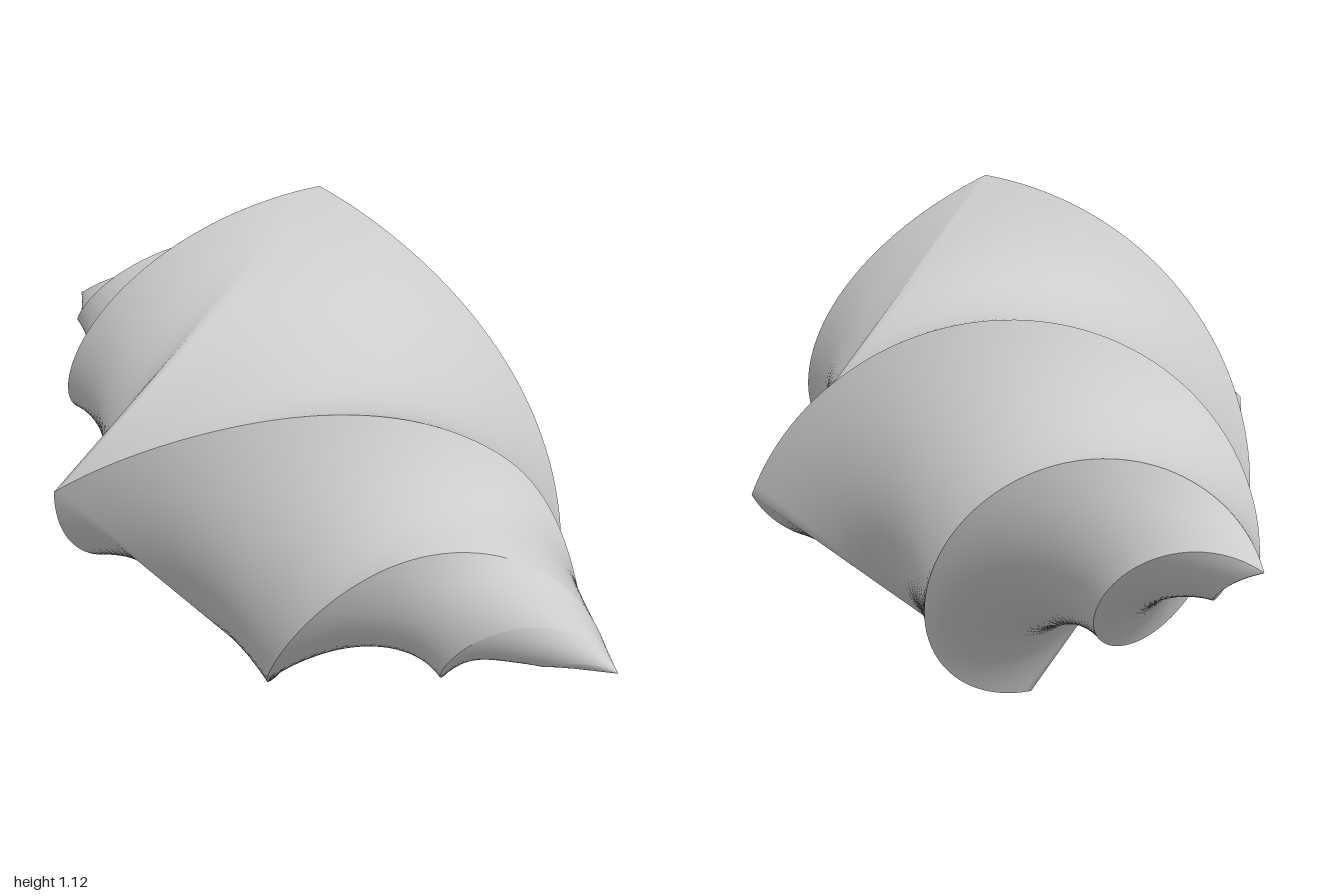
import * as THREE from 'three';

const RADIUS = 0.56, CENTRE_Y = 0.558, START = -5.3;
const ROWS = 160, COLS = 24;
const { smoothstep, lerp, degToRad } = THREE.MathUtils;

// Twist in degrees along the long axis; it tightens towards both tips
function twist(z) {
  return z > 0 ? -(100 * z + 190 * z ** 3) : -z * (190 + 40 * z * z);
}

// Relative radius of the cross-section at t along one side:
// a straight square at the middle, slightly bulged sides further out,
// and worn-down ridges near the front tip
function sectionRadius(t, z) {
  const square = Math.hypot(1 - t, t);
  const bulge = 0.065 * smoothstep(Math.abs(z), 0, 0.3) * 4 * t * (1 - t);
  return lerp(square + bulge, 0.78, 0.85 * smoothstep(z, 0.6, 0.8));
}

// One of the four twisted faces, running from the back tip to the front tip
function faceGeometry(index) {
  const pos = [], idx = [];
  for (let j = 0; j <= ROWS; j++) {
    const z = -1 + (2 * j) / ROWS;
    const taper = RADIUS * Math.max(1 - Math.abs(z), 0.0005);
    const corner = degToRad(START + 90 * index + twist(z));
    for (let i = 0; i <= COLS; i++) {
      const t = i / COLS;
      const angle = corner + Math.atan2(t, 1 - t);
      const r = taper * sectionRadius(t, z);
      pos.push(r * Math.cos(angle), r * Math.sin(angle), z);
    }
  }
  const w = COLS + 1;
  for (let j = 0; j < ROWS; j++) {
    for (let i = 0; i < COLS; i++) {
      const p = j * w + i;
      idx.push(p, p + 1, p + w, p + 1, p + w + 1, p + w);
    }
  }
  const g = new THREE.BufferGeometry();
  g.setAttribute('position', new THREE.Float32BufferAttribute(pos, 3));
  g.setIndex(idx);
  g.computeVertexNormals();
  return g;
}

export function createModel() {
  const group = new THREE.Group();
  group.name = 'twistedBipyramid';
  const grey = new THREE.MeshStandardMaterial({ color: 0xcccccc });
  grey.name = 'light grey';
  // Separate faces keep the spiral ridges sharp
  for (let k = 0; k < 4; k++) {
    const face = new THREE.Mesh(faceGeometry(k), grey);
    face.name = `spiralFace${k + 1}`;
    face.position.y = CENTRE_Y;
    group.add(face);
  }
  return group;
}
